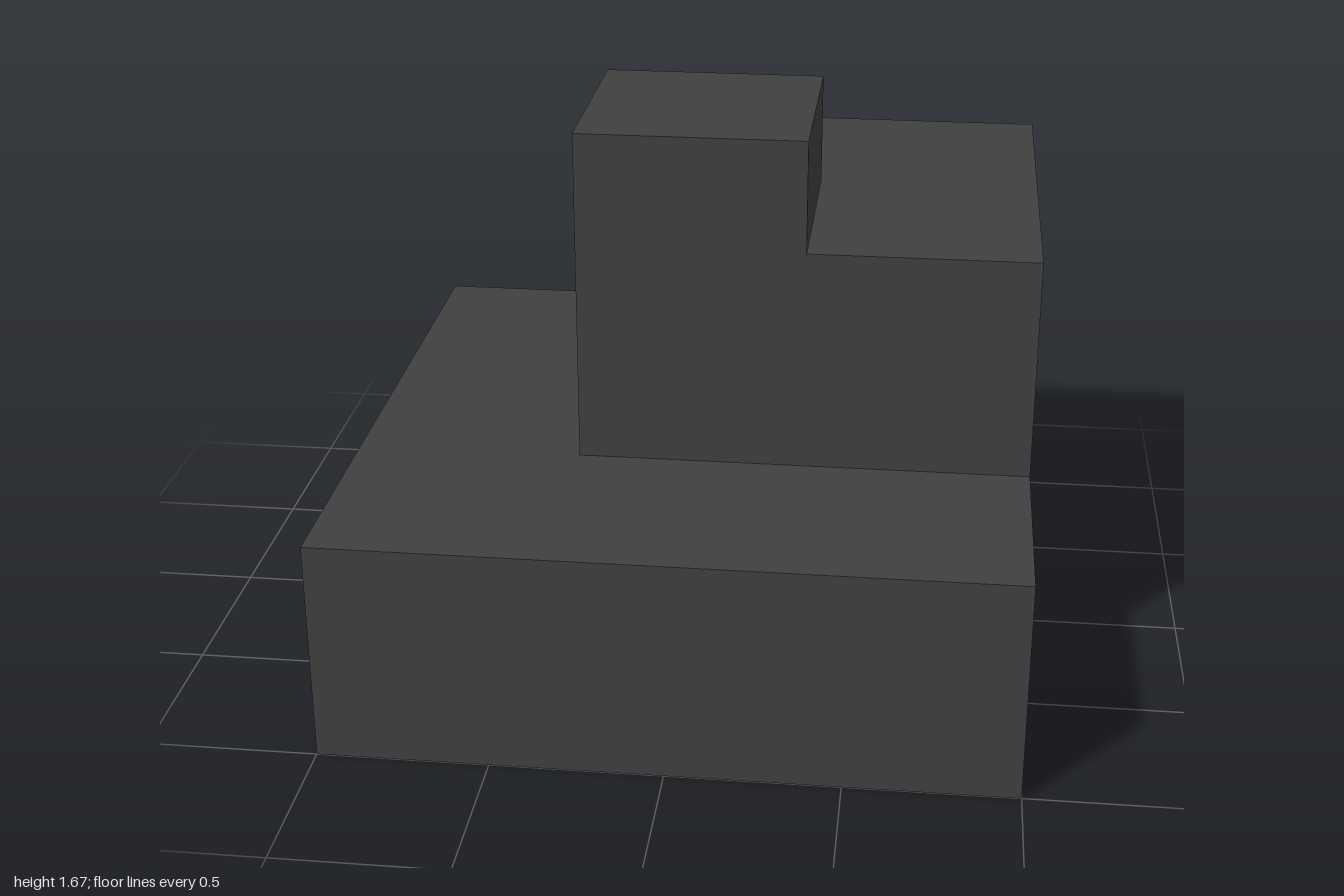
import * as THREE from 'three';

const U = 1 / 3; // grid unit

export function createModel() {
  const model = new THREE.Group();
  model.name = 'steppedBlocks';

  const charcoal = new THREE.MeshStandardMaterial({ color: 0x404040 });
  charcoal.name = 'charcoal';

  // Box between two corners, given in grid units
  function block(name, min, max) {
    const size = max.map((v, i) => (v - min[i]) * U);
    const centre = max.map((v, i) => ((v + min[i]) / 2) * U);
    const mesh = new THREE.Mesh(new THREE.BoxGeometry(...size), charcoal);
    mesh.name = name;
    mesh.position.set(...centre);
    model.add(mesh);
  }

  // Square base slab
  block('base', [-3, 0, -3], [3, 2, 3]);
  // Middle block, flush with the back left corner
  block('middleBlock', [-1, 2, -3], [3, 4, 1]);
  // Small top block, flush with the middle block's front right corner
  block('topBlock', [-1, 4, -1], [1, 5, 1]);

  return model;
}
